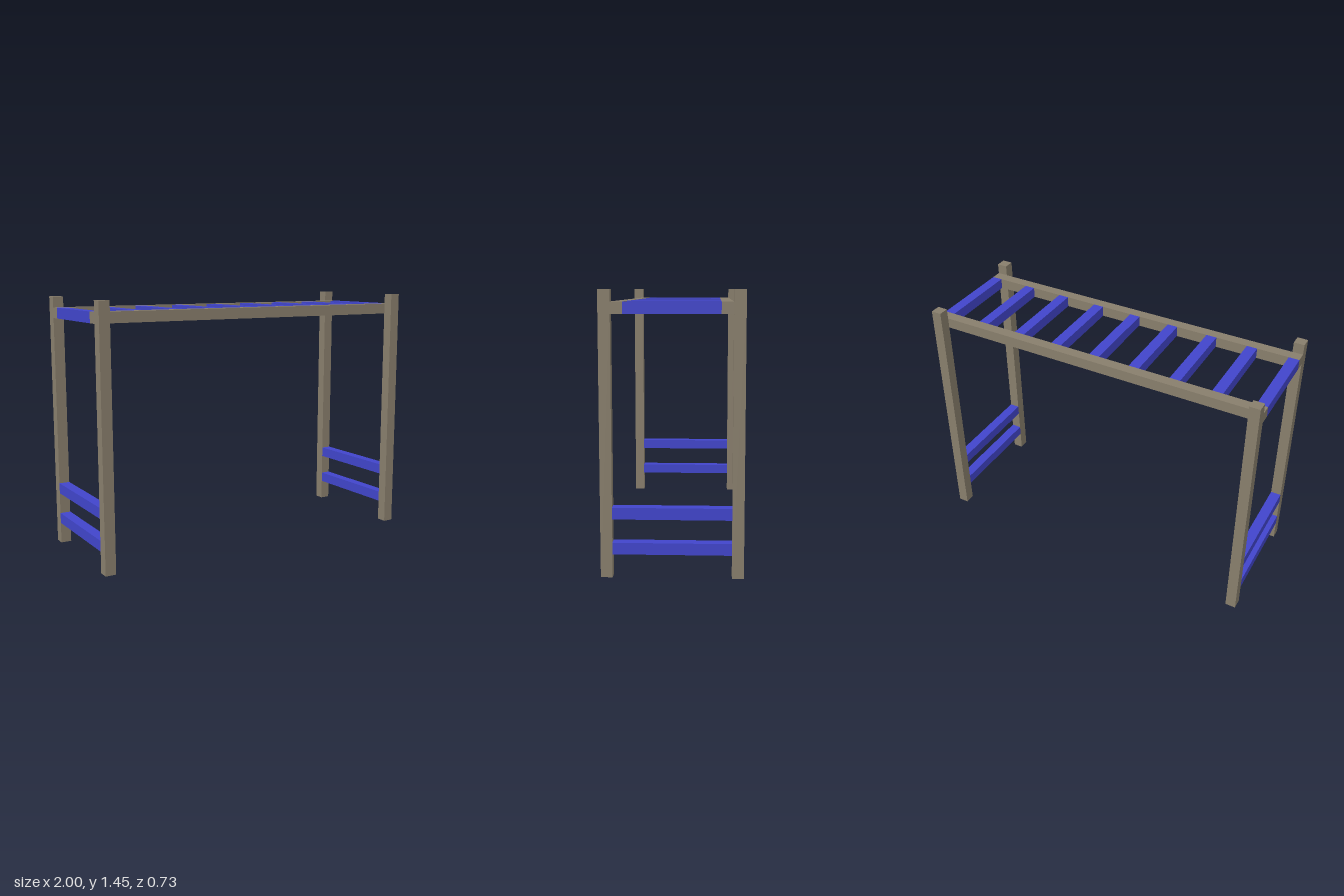
import * as THREE from 'three';

export function createModel() {
  const model = new THREE.Group();
  model.name = 'climbingFrame';

  const wood = new THREE.MeshStandardMaterial({ color: 0x887e6c });
  wood.name = 'weathered wood';
  const blue = new THREE.MeshStandardMaterial({ color: 0x4145cb });
  blue.name = 'blue paint';

  // Every beam is one unit thick; the frame is 33 units long
  const u = 2 / 33;
  const beam = (name, material, size, position) => {
    const mesh = new THREE.Mesh(new THREE.BoxGeometry(...size.map(v => v * u)), material);
    mesh.position.set(...position.map(v => v * u));
    mesh.name = name;
    model.add(mesh);
  };

  for (const side of [-1, 1]) {
    // Corner posts
    for (const end of [-1, 1]) {
      beam('post', wood, [1, 24, 1], [16 * end, 12, 5.5 * side]);
    }
    // Long top rail, inside the posts
    beam('topRail', wood, [33, 1, 1], [0, 22.5, 4.5 * side]);
    // Two steps between the posts at each end
    for (const y of [2.5, 5.5]) {
      beam('step', blue, [1, 1, 10], [16 * side, y, 0]);
    }
  }

  // Overhead rungs between the rails
  for (let i = -4; i <= 4; i++) {
    beam('overheadRung', blue, [1, 1, 8], [4 * i, 22.5, 0]);
  }

  return model;
}
